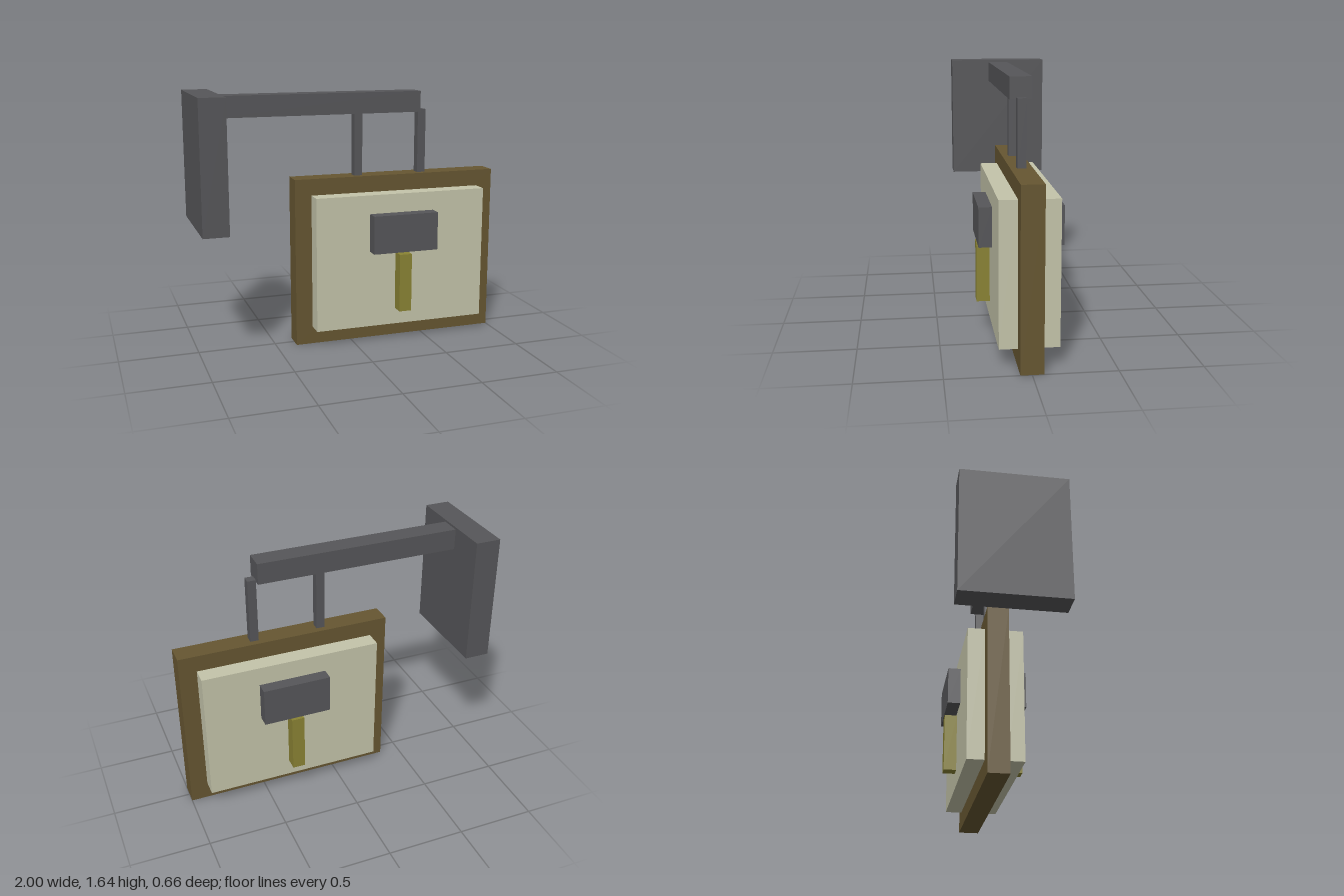
import * as THREE from 'three';

const material = (name, color) => {
  const m = new THREE.MeshStandardMaterial({ color });
  m.name = name;
  return m;
};

export function createModel() {
  const iron = material('dark iron', 0x565659);
  const wood = material('brown wood', 0x665631);
  const cream = material('cream panel', 0xc4c4aa);
  const olive = material('olive handle', 0x8a8334);

  const group = new THREE.Group();
  group.name = 'hangingSign';

  // Box given by its extents on each axis
  const box = (name, mat, [x0, x1], [y0, y1], [z0, z1]) => {
    const mesh = new THREE.Mesh(new THREE.BoxGeometry(x1 - x0, y1 - y0, z1 - z0), mat);
    mesh.position.set((x0 + x1) / 2, (y0 + y1) / 2, (z0 + z1) / 2);
    mesh.name = name;
    group.add(mesh);
  };

  // Wall plate and the arm reaching out from it
  box('wallPlate', iron, [-1, -0.838], [0.825, 1.645], [-0.33, 0.33]);
  box('arm', iron, [-0.838, 0.476], [1.497, 1.631], [-0.068, 0.068]);

  // Hanging rods
  box('innerRod', iron, [0.038, 0.092], [1.09, 1.509], [-0.028, 0.028]);
  box('outerRod', iron, [0.476, 0.53], [1.09, 1.509], [-0.028, 0.028]);

  // Sign board
  box('board', wood, [-0.37, 1], [0, 1.095], [-0.068, 0.068]);

  // Raised panel and hammer emblem on both faces
  for (const [side, s] of [['front', 1], ['back', -1]]) {
    const depth = (a, b) => (s > 0 ? [a, b] : [-b, -a]);
    box(side + 'Panel', cream, [-0.262, 0.889], [0.115, 0.989], depth(0.068, 0.178));
    box(side + 'HammerHead', iron, [0.095, 0.53], [0.62, 0.867], depth(0.178, 0.26));
    box(side + 'HammerHandle', olive, [0.271, 0.353], [0.223, 0.604], depth(0.178, 0.26));
  }

  return group;
}
